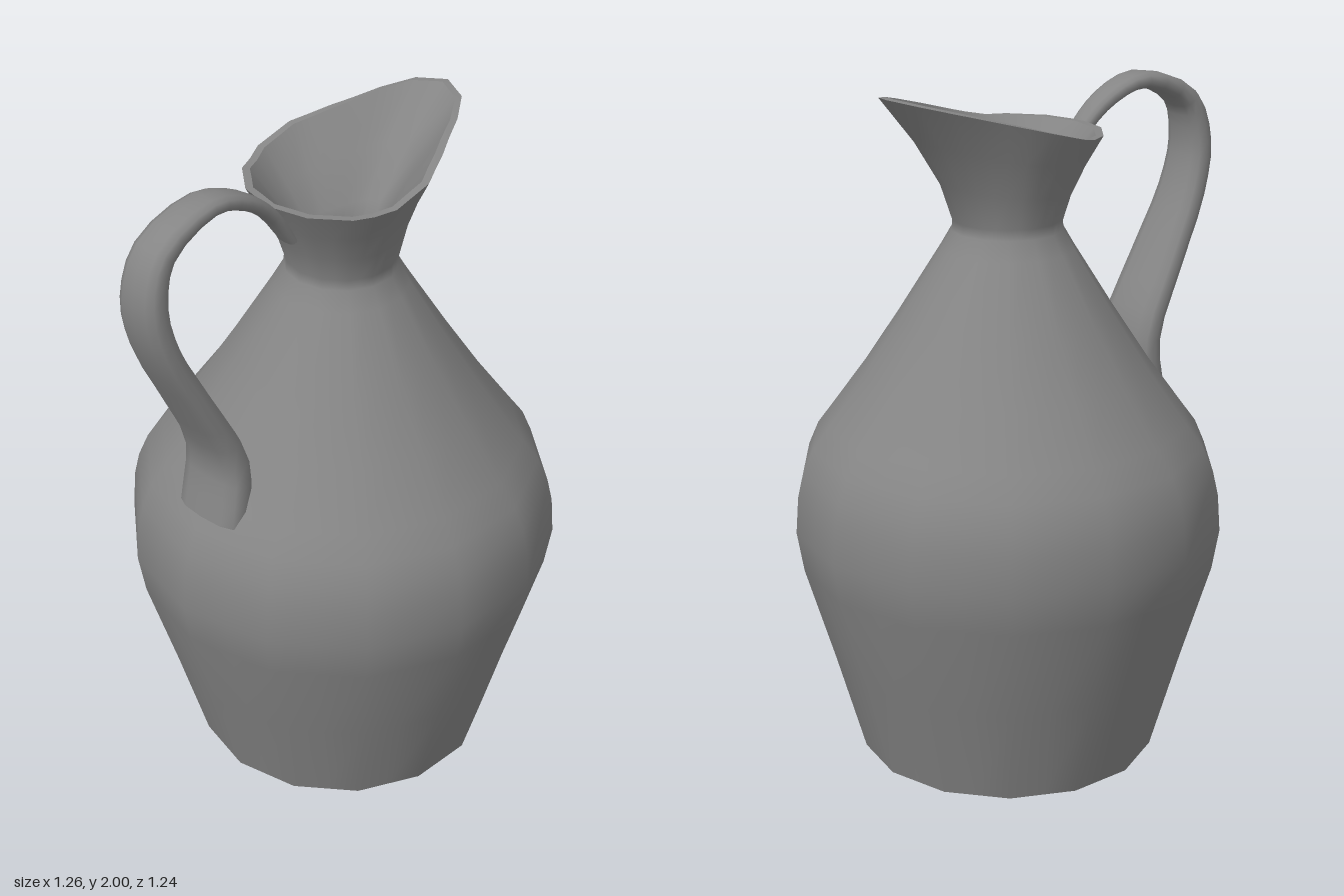
import * as THREE from 'three';

const SIDES = 14, COLS = SIDES * 2;
const AXIS = THREE.MathUtils.degToRad(-50.1); // direction of the spout
const material = new THREE.MeshStandardMaterial({ color: 0x858585, side: THREE.DoubleSide });

// Smooth skin over closed rings of points
function skin(name, rings) {
  const n = rings[0].length, index = [];
  for (let i = 0; i < rings.length - 1; i++) {
    for (let j = 0; j < n; j++) {
      const a = i * n + j, b = i * n + (j + 1) % n;
      index.push(a, a + n, b, b, a + n, b + n);
    }
  }
  const geometry = new THREE.BufferGeometry().setFromPoints(rings.flat());
  geometry.setIndex(index);
  geometry.computeVertexNormals();
  const mesh = new THREE.Mesh(geometry, material);
  mesh.name = name;
  return mesh;
}

const columns = [...Array(COLS).keys()];
const chord = Math.cos(Math.PI / SIDES); // radius factor halfway along a side

// Point on a column, with the angle measured from the spout
function polar(j, r, y) {
  const a = AXIS + (j / COLS) * Math.PI * 2;
  return new THREE.Vector3(r * Math.cos(a), y, r * Math.sin(a));
}
const facet = (j, r) => (j % 2 ? r * chord : r);
const ring = (r, y) => columns.map((j) => polar(j, facet(j, r), y));
// Angle away from the spout, the same on both sides
const offAngle = (j) => (Math.min(j, COLS - j) / COLS) * Math.PI * 2;

// Rim radius is pulled out into a spout and rises toward its tip
const spoutRadii = [0.42, 0.392, 0.335, 0.292, 0.274, 0.266];
function rimPoint(j, inset) {
  const full = spoutRadii[Math.min(j, COLS - j)] ?? facet(j, 0.273);
  const along = full * Math.cos(offAngle(j));
  return { r: full - inset, y: 1.86 + Math.max(0, along + 0.1) * 0.268 };
}

// Neck ring between the throat (f = 0) and the spouted rim (f = 1);
// pinch narrows the throat on both sides of the spout
function neckRing(throatR, throatY, pinch, inset, f, t) {
  return columns.map((j) => {
    const rim = rimPoint(j, inset);
    const throat = facet(j, throatR) - pinch * Math.max(0, Math.sin(1.5 * offAngle(j)));
    return polar(j, THREE.MathUtils.lerp(throat, rim.r, f), THREE.MathUtils.lerp(throatY, rim.y, t));
  });
}

function createHandle() {
  const group = new THREE.Group();
  group.name = 'handle';
  // [distance from the jug axis, height, width, thickness]
  const stations = [
    [0.50, 0.99, 0.24, 0.11], [0.485, 1.18, 0.225, 0.09], [0.585, 1.4, 0.2, 0.08],
    [0.683, 1.6, 0.17, 0.08], [0.713, 1.75, 0.15, 0.08], [0.67, 1.88, 0.13, 0.07],
    [0.5, 1.953, 0.11, 0.05], [0.37, 1.915, 0.09, 0.045], [0.275, 1.84, 0.075, 0.04],
    [0.205, 1.74, 0.07, 0.03],
  ];
  const out = new THREE.Vector3(-Math.cos(AXIS), 0, -Math.sin(AXIS));
  const side = new THREE.Vector3(0, 1, 0).cross(out);
  const path = new THREE.CatmullRomCurve3(stations.map(([s, y]) =>
    out.clone().multiplyScalar(s).setY(y)));
  const size = new THREE.CatmullRomCurve3(stations.map(([, , w, t]) =>
    new THREE.Vector3(w / 2, t / 2, 0)));

  // Rounded-rectangle section
  const soften = (v) => Math.sign(v) * Math.abs(v) ** 0.75;
  const steps = 27, around = 12, rings = [];
  for (let i = 0; i <= steps; i++) {
    const p = path.getPoint(i / steps), half = size.getPoint(i / steps);
    const normal = side.clone().cross(path.getTangent(i / steps));
    rings.push([...Array(around).keys()].map((k) => {
      const a = (k / around) * Math.PI * 2;
      return p.clone().addScaledVector(side, half.x * soften(Math.cos(a)))
        .addScaledVector(normal, half.y * soften(Math.sin(a)));
    }));
  }
  const hub = (t) => Array.from({ length: around }, () => path.getPoint(t));
  group.add(
    skin('handleStrap', rings),
    skin('handleLowerEnd', [hub(0), rings[0]]),
    skin('handleUpperEnd', [rings[steps], hub(1)]),
  );
  return group;
}

export function createModel() {
  const model = new THREE.Group();
  model.name = 'jug';

  // Outer wall: tapered belly, sloped shoulder, flared neck
  const belly = [
    [0.44, 0], [0.525, 0.3], [0.612, 0.59], [0.632, 0.71], [0.624, 0.82], [0.608, 0.89],
    [0.578, 0.96], [0.53, 1.025], [0.425, 1.17], [0.32, 1.33], [0.195, 1.53], [0.163, 1.585],
  ];
  const neckSteps = [[0, 0], [0.2, 0.3], [0.56, 0.65], [1, 1]]; // [flare, rise]
  const outer = [
    ...belly.map(([r, y]) => ring(r, y)),
    ...neckSteps.map(([f, t]) => neckRing(0.16, 1.615, 0, 0, f, t)),
  ];
  model.add(skin('body', outer));

  // Flat underside
  model.add(skin('base', [ring(0, 0), outer[0]]));

  // Inside of the neck and belly, joined to the outer wall by a thin lip
  const cavity = [
    [0.13, 1.53], [0.36, 1.17], [0.53, 0.93], [0.57, 0.71], [0.55, 0.59], [0.39, 0.04],
  ];
  const inner = [
    ...[...neckSteps].reverse().map(([f, t]) => neckRing(0.095, 1.6, 0.026, 0.022, f, t)),
    ...cavity.map(([r, y]) => ring(r, y)),
  ];
  model.add(skin('lip', [outer[outer.length - 1], inner[0]]));
  model.add(skin('innerWall', inner));
  model.add(skin('innerFloor', [inner[inner.length - 1], ring(0, 0.04)]));

  model.add(createHandle());
  return model;
}
